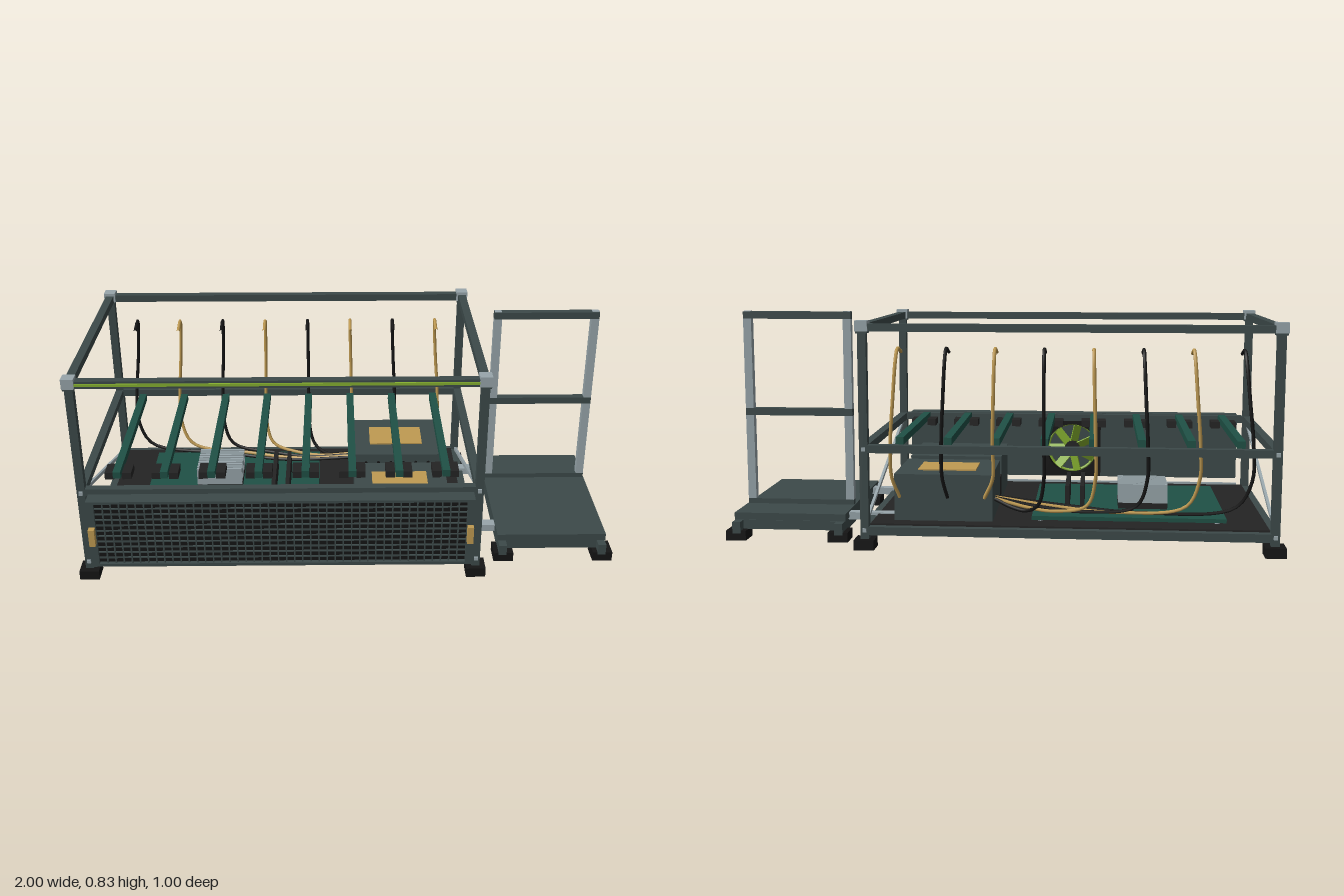
import * as THREE from 'three';

const mat = (name, color, side = THREE.FrontSide) => {
  const m = new THREE.MeshStandardMaterial({ color, side });
  m.name = name;
  return m;
};

export function createModel() {
  const slate = mat('slate', 0x3d4a4a), steel = mat('steel', 0x98a6ab);
  const black = mat('black', 0x151515), charcoal = mat('charcoal', 0x242424);
  const green = mat('boardGreen', 0x1f5146), gold = mat('gold', 0xc09b52);
  const lime = mat('lime', 0x86b030);
  const root = new THREE.Group();

  const group = (name) => {
    const g = new THREE.Group();
    g.name = name;
    root.add(g);
    return g;
  };
  const add = (parent, name, geo, m) => {
    const mesh = new THREE.Mesh(geo, m);
    mesh.name = name;
    parent.add(mesh);
    return mesh;
  };
  // box given by its min and max on each axis
  const box = (parent, name, m, x0, x1, y0, y1, z0, z1) => {
    const b = add(parent, name, new THREE.BoxGeometry(x1 - x0, y1 - y0, z1 - z0), m);
    b.position.set((x0 + x1) / 2, (y0 + y1) / 2, (z0 + z1) / 2);
    return b;
  };
  const block = (parent, name, m, x, z, w, d, y0, y1) =>
    box(parent, name, m, x - w / 2, x + w / 2, y0, y1, z - d / 2, z + d / 2);

  // open frame
  const frame = group('frame');
  const X = [-0.967, 0.467], Z = [-0.461, 0.376], h = 0.015;
  for (const x of X) for (const z of Z) {
    block(frame, 'post', slate, x, z, 0.03, 0.03, 0.03, 0.79);
    block(frame, 'foot', black, x, z, 0.072, 0.074, 0, 0.036);
    block(frame, 'cornerBlock', steel, x, z, 0.044, 0.046, 0.772, 0.809);
    block(frame, 'cornerCap', slate, x, z, 0.066, 0.07, 0.765, 0.772).scale.set(0.6, 1, 0.6);
    for (const y of [0.068, 0.358]) block(frame, 'bolt', steel, x, z, 0.014, 0.042, y - 0.007, y + 0.007);
  }
  for (const [y0, y1] of [[0.05, 0.08], [0.345, 0.373], [0.771, 0.798]]) {
    for (const x of X) box(frame, 'sideRail', slate, x - h, x + h, y0, y1, Z[0] + h, Z[1] - h);
    for (const z of Z) box(frame, 'longRail', slate, X[0] + h, X[1] - h, y0, y1, z - h, z + h);
  }
  for (const x of X) {
    const a = new THREE.Vector2(0.362, 0.35), b = new THREE.Vector2(-0.415, 0.1);
    const brace = add(frame, 'diagonalBrace', new THREE.BoxGeometry(0.01, 0.013, a.distanceTo(b)), steel);
    brace.position.set(x, (a.y + b.y) / 2, (a.x + b.x) / 2);
    brace.rotation.x = -Math.atan2(a.y - b.y, a.x - b.x);
  }
  box(frame, 'lightStrip', lime, -0.95, 0.45, 0.78, 0.79, 0.39, 0.396);
  box(frame, 'slideRail', steel, -0.95, 0.45, 0.058, 0.072, 0.39, 0.396);
  box(frame, 'slideLip', steel, -0.93, 0.43, 0.084, 0.094, 0.352, 0.36);

  // floor tray
  const tray = group('tray');
  box(tray, 'trayFloor', charcoal, -0.952, 0.452, 0.074, 0.086, -0.446, 0.361);
  box(tray, 'trayUnderside', black, -0.952, 0.452, 0.068, 0.074, -0.446, 0.361);

  // main circuit board with its parts
  const board = group('circuitBoard');
  box(board, 'boardPlate', green, -0.81, -0.12, 0.094, 0.108, -0.38, 0.21);
  for (const x of [-0.78, -0.15]) for (const z of [-0.35, 0.18])
    add(board, 'standoff', new THREE.CylinderGeometry(0.01, 0.01, 0.01, 8), steel).position.set(x, 0.09, z);
  box(board, 'heatsinkBase', charcoal, -0.61, -0.43, 0.108, 0.13, -0.235, -0.065);
  for (let i = 0; i < 9; i++) {
    const z = -0.23 + i * 0.02;
    box(board, 'heatsinkFin', steel, -0.61, -0.43, 0.13, 0.2, z - 0.005, z + 0.005);
  }
  for (const x of [-0.298, -0.243]) box(board, 'memoryStick', charcoal, x - 0.008, x + 0.008, 0.108, 0.19, -0.235, 0.04);

  // two power units with a link block between
  const power = group('powerUnits');
  for (const [z0, z1, p0, p1] of [[-0.388, -0.077, -0.31, -0.165], [-0.008, 0.302, 0.07, 0.21]]) {
    box(power, 'powerBox', slate, 0.02, 0.375, 0.086, 0.255, z0, z1);
    box(power, 'labelPlate', gold, 0.088, 0.3, 0.255, 0.26, p0, p1);
    for (let r = 0; r < 6; r++) for (let c = 0; c < 6; c++) {
      const pin = add(power, 'socket', new THREE.CylinderGeometry(0.006, 0.006, 0.006, 8), black);
      pin.rotation.x = Math.PI / 2;
      pin.position.set(0.07 + c * 0.05, 0.115 + r * 0.021, z1 + 0.003);
    }
  }
  box(power, 'linkBoard', green, 0.03, 0.365, 0.094, 0.108, -0.077, -0.008);
  box(power, 'linkBlock', charcoal, 0.02, 0.375, 0.108, 0.186, -0.077, -0.008);

  // cross beams with clamps, and a cable hooked over each
  const beams = group('crossBeams'), cables = group('cables');
  for (let i = 0; i < 8; i++) {
    const x = -0.855 + i * 0.1729;
    box(beams, 'beam', green, x - 0.014, x + 0.014, 0.36, 0.387, -0.376, 0.29);
    for (const s of [-1, 1]) block(beams, 'clamp', charcoal, x + s * 0.032, 0.232, 0.034, 0.072, 0.345, 0.371);
    const lean = -0.035 + i * 0.0085;
    const pts = [[x, 0.69, -0.322], [x, 0.706, -0.4], [x + lean * 0.1, 0.67, -0.425],
      [x + lean * 0.5, 0.53, -0.437], [x + lean, 0.37, -0.428], [x + lean, 0.25, -0.41]];
    if (i < 5) {
      const z = -0.25 - i * 0.012;
      pts.push([x + 0.02, 0.15, -0.385], [x * 0.6, 0.12, -0.35], [x * 0.3, 0.125, z - 0.03], [0.02, 0.15, z]);
    } else pts.push([Math.max(x, 0.05), 0.17, -0.386]);
    const curve = new THREE.CatmullRomCurve3(pts.map((p) => new THREE.Vector3(...p)));
    add(cables, i % 2 ? 'goldCable' : 'blackCable', new THREE.TubeGeometry(curve, 56, 0.0065, 6), i % 2 ? gold : black);
  }

  // cooling fan behind the front panel
  const fan = group('fan');
  const shape = new THREE.Shape([[-1, -1], [1, -1], [1, 1], [-1, 1]].map(([a, b]) => new THREE.Vector2(a * 0.118, b * 0.115)));
  shape.holes.push(new THREE.Path().absarc(0, 0, 0.104, 0, Math.PI * 2, true));
  add(fan, 'fanFrame', new THREE.ExtrudeGeometry(shape, { depth: 0.046, bevelEnabled: false, curveSegments: 20 }), black);
  add(fan, 'fanRing', new THREE.TorusGeometry(0.1, 0.006, 6, 32), lime).position.z = 0.05;
  const hub = add(fan, 'fanHub', new THREE.CylinderGeometry(0.032, 0.032, 0.04, 16), charcoal);
  hub.rotation.x = Math.PI / 2;
  hub.position.z = 0.023;
  for (let i = 0; i < 7; i++) {
    const arm = new THREE.Group();
    arm.rotation.z = i * Math.PI * 2 / 7;
    arm.position.z = 0.023;
    fan.add(arm);
    const blade = add(arm, 'fanBlade', new THREE.BoxGeometry(0.07, 0.036, 0.005), lime);
    blade.position.x = 0.062;
    blade.rotation.x = 0.6;
  }
  fan.position.set(-0.248, 0.23, 0.344);

  // front mesh panel with handles
  const panel = group('frontPanel');
  box(panel, 'panelBody', slate, -0.935, 0.442, 0.1, 0.371, 0.422, 0.462);
  box(panel, 'panelBacking', black, -0.91, 0.417, 0.115, 0.358, 0.462, 0.466);
  for (const [y0, y1] of [[0.1, 0.112], [0.361, 0.371]]) box(panel, 'panelEdge', slate, -0.935, 0.442, y0, y1, 0.462, 0.477);
  for (const [x0, x1] of [[-0.935, -0.908], [0.415, 0.442]]) box(panel, 'panelSide', slate, x0, x1, 0.112, 0.361, 0.462, 0.477);
  for (let i = 1; i < 45; i++) {
    const x = -0.908 + i * 1.323 / 45;
    box(panel, 'meshUpright', slate, x - 0.0025, x + 0.0025, 0.112, 0.361, 0.464, 0.472);
  }
  for (let i = 1; i < 11; i++) {
    const y = 0.112 + i * 0.249 / 11;
    box(panel, 'meshBar', slate, -0.908, 0.415, y - 0.0025, y + 0.0025, 0.464, 0.471);
  }
  for (const x of [-0.921, 0.428]) block(panel, 'handle', gold, x, 0.488, 0.022, 0.024, 0.201, 0.268);

  // side platform with guard rail
  const platform = group('platform');
  box(platform, 'deck', slate, 0.562, 0.975, 0.07, 0.096, -0.358, 0.275);
  const PX = [0.58, 0.957];
  for (const x of PX) {
    box(platform, 'deckRail', slate, x - h, x + h, 0.028, 0.07, -0.4, 0.312);
    for (const z of [-0.354, 0.269]) block(platform, 'platformFoot', black, x + 0.004, z, 0.074, 0.083, 0, 0.036);
    block(platform, 'guardPost', steel, x, -0.18, 0.03, 0.028, 0.096, 0.8);
    block(platform, 'guardCap', steel, x, -0.18, 0.026, 0.024, 0.824, 0.827);
  }
  for (const z of [-0.345, 0.26]) box(platform, 'deckCrossRail', slate, 0.58, 0.957, 0.036, 0.07, z - h, z + h);
  for (const [y0, y1] of [[0.09, 0.115], [0.435, 0.462], [0.798, 0.825]])
    box(platform, 'guardRail', slate, 0.565, 0.972, y0, y1, -0.195, -0.165);
  for (const z of [-0.275, 0.175]) box(platform, 'linkArm', steel, 0.36, 0.74, 0.063, 0.09, z - 0.019, z + 0.019);

  return root;
}
